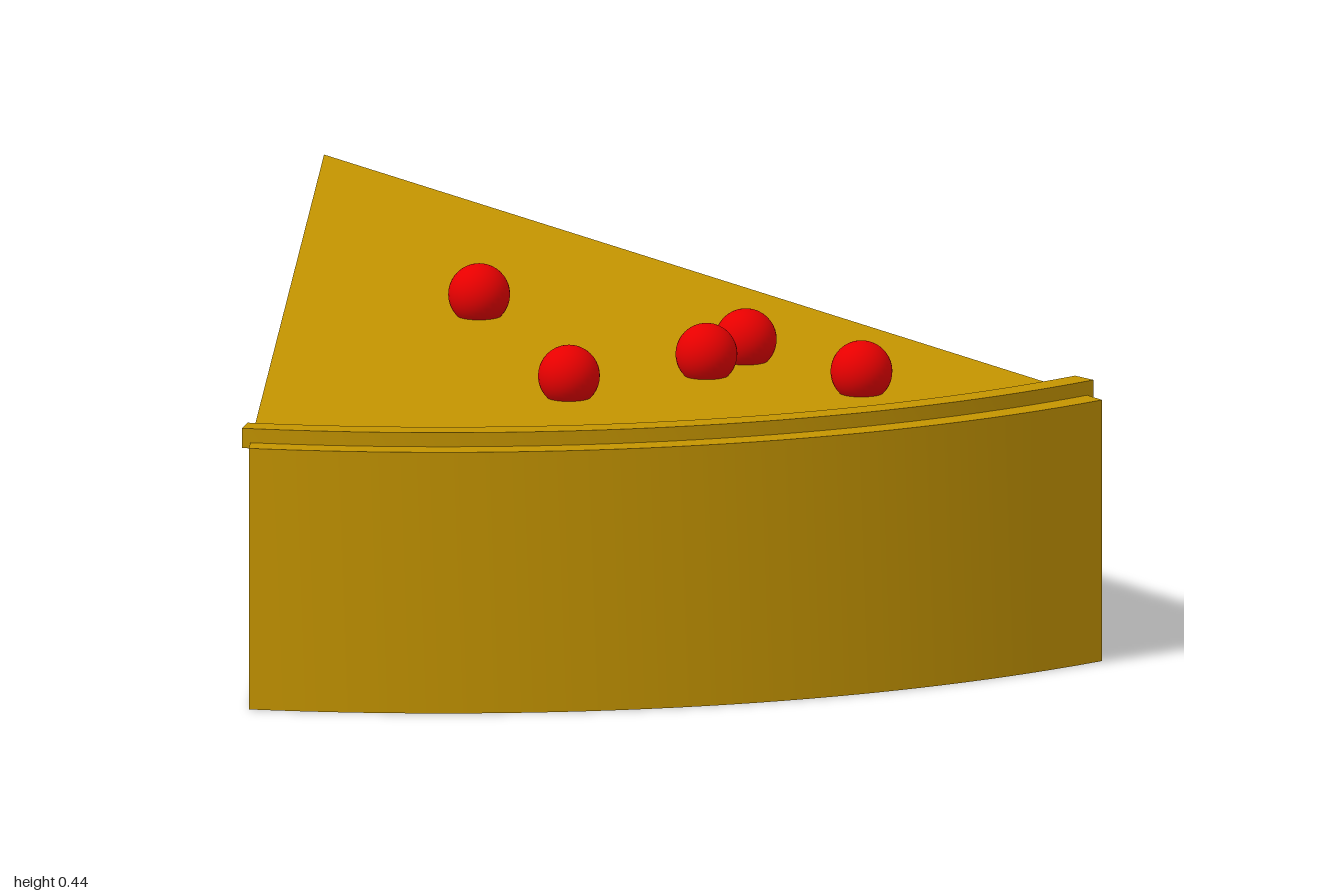
import * as THREE from 'three';
import { toCreasedNormals } from 'three/addons/utils/BufferGeometryUtils.js';

const ARC_Z = -0.372; // centre of the rounded outer edge

// Points on the rounded edge, in plan (x, z), from angle a to angle b off the front
function arc(radius, a, b, steps = 32) {
  return Array.from({ length: steps + 1 }, (_, i) => {
    const t = a + ((b - a) * i) / steps;
    return new THREE.Vector2(radius * Math.sin(t), ARC_Z + radius * Math.cos(t));
  });
}

// Extrude a plan drawn in x and z between two heights
function slab(points, bottom, top) {
  const g = new THREE.ExtrudeGeometry(new THREE.Shape(points), { depth: top - bottom, bevelEnabled: false });
  g.rotateX(Math.PI / 2).translate(0, top, 0);
  return toCreasedNormals(g, 0.3);
}

function addMesh(parent, name, geometry, material) {
  const mesh = new THREE.Mesh(geometry, material);
  mesh.name = name;
  parent.add(mesh);
  return mesh;
}

export function createModel() {
  const model = new THREE.Group();
  model.name = 'pieSlice';

  const pastry = new THREE.MeshStandardMaterial({ color: 0xc49400 });
  pastry.name = 'golden pastry';
  const red = new THREE.MeshStandardMaterial({ color: 0xee0000 });
  red.name = 'cherry red';

  // Wedge body: point at the back, rounded front
  const wedge = [new THREE.Vector2(0, -1), ...arc(1.372, 0.463, -0.463)];
  addMesh(model, 'slice', slab(wedge, 0, 0.37), pastry);

  // Raised crust strip following the front edge
  const rim = [...arc(1.335, 0.476, -0.476), ...arc(1.297, -0.476, 0.476)];
  addMesh(model, 'crustRim', slab(rim, 0.362, 0.39), pastry);

  // Cherries, half sunk into the top
  const cherries = new THREE.Group();
  cherries.name = 'cherries';
  model.add(cherries);
  const ball = new THREE.SphereGeometry(0.043, 32, 20);
  const spots = [[-0.073, 0.087], [0.205, 0.473], [0.127, 0.552], [-0.095, 0.642], [0.304, 0.72]];
  for (const [x, z] of spots) addMesh(cherries, 'cherry', ball, red).position.set(x, 0.4, z);

  return model;
}
